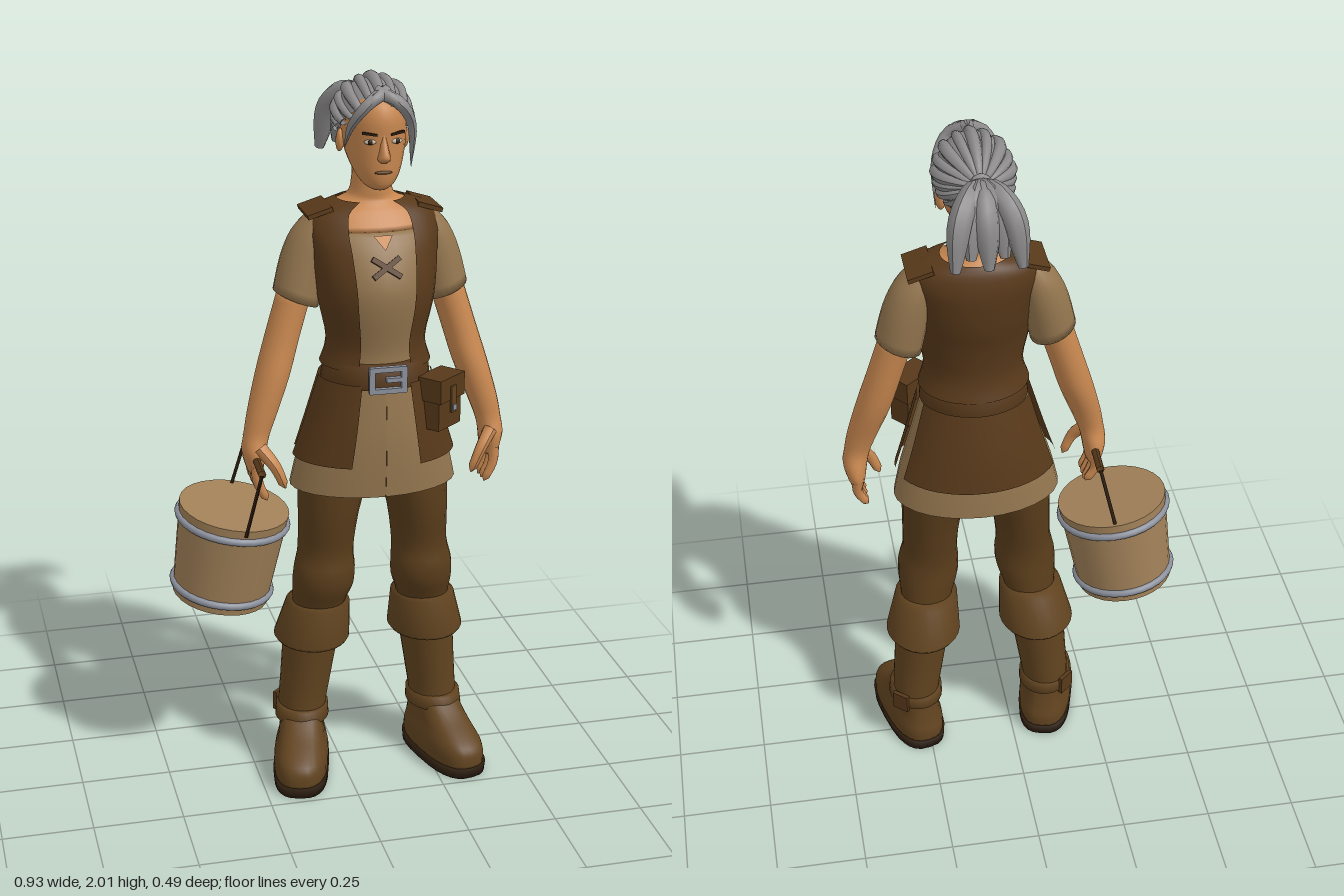
import * as THREE from 'three';

const D = { side: THREE.DoubleSide };
const mat = (name, color, extra = {}) => Object.assign(new THREE.MeshStandardMaterial({ color, ...extra }), { name });
const M = {
  skin: mat('skin', 0xc98850), hair: mat('hair', 0x8d8b8b, D), cloth: mat('linen', 0x94764f, D),
  leather: mat('leather', 0x58391a, D), trousers: mat('trousers', 0x5a3d1b), boots: mat('boots', 0x624420, D),
  wood: mat('wood', 0xa08058), steel: mat('steel', 0x8b909c), dark: mat('dark', 0x2c1d0f), eye: mat('eyeWhite', 0xc9b9a2),
};
const CX = 0.088; // the body stands a little to its left of the middle

export function createModel() {
  const root = new THREE.Group();
  root.name = 'bucketCarrier';
  const put = (name, geo, m, parent = root, pos = [0, 0, 0], rot = [0, 0, 0]) => {
    const mesh = new THREE.Mesh(geo, m);
    mesh.name = name;
    mesh.position.set(...pos);
    mesh.rotation.set(...rot);
    parent.add(mesh);
    return mesh;
  };
  const box = (name, size, m, pos, rot, parent) => put(name, new THREE.BoxGeometry(...size), m, parent, pos, rot);

  // Skin over horizontal rings, bottom to top: [y, x, halfWidth, zBack, zFront, slope]
  const loft = (rings, { a0 = 0, a1 = Math.PI * 2, n = 28, sub = 3, grow = 0, pow = 1 } = {}) => {
    const closed = a1 - a0 > 6.28, rows = [], pos = [], idx = [];
    const at = (i, k) => rings[Math.min(Math.max(i, 0), rings.length - 1)][k] ?? 0;
    for (let i = 0; i < rings.length - 1; i++) for (let s = 0; s < sub; s++) {
      const t = s / sub;
      rows.push([0, 1, 2, 3, 4, 5].map((k) => {
        const [p, a, b, q] = [at(i - 1, k), at(i, k), at(i + 1, k), at(i + 2, k)];
        return a + 0.5 * t * (b - p + t * (2 * p - 5 * a + 4 * b - q + t * (3 * (a - b) + q - p)));
      }));
    }
    rows.push([0, 1, 2, 3, 4, 5].map((k) => at(rings.length - 1, k)));
    const cols = closed ? n : n + 1, bend = (v) => Math.sign(v) * Math.abs(v) ** pow;
    for (const [y, x, hx, zb, zf, k] of rows) for (let j = 0; j < cols; j++) {
      const a = a0 + (a1 - a0) * j / n, dx = (hx + grow) * bend(Math.sin(a));
      pos.push(x + dx, y + k * dx, (zb + zf) / 2 + ((zf - zb) / 2 + grow) * bend(Math.cos(a)));
    }
    for (let i = 0; i < rows.length - 1; i++) for (let j = 0; j < n; j++) {
      const a = i * cols + j, b = i * cols + (j + 1) % cols;
      idx.push(a, b, a + cols, b, b + cols, a + cols);
    }
    if (closed) [0, rows.length - 1].forEach((r, e) => {
      const [y, x, , zb, zf] = rows[r], c = pos.length / 3;
      pos.push(x, y, (zb + zf) / 2);
      for (let j = 0; j < n; j++) {
        const a = r * cols + j, b = r * cols + (j + 1) % cols;
        idx.push(...(e ? [c, a, b] : [c, b, a]));
      }
    });
    const g = new THREE.BufferGeometry();
    g.setAttribute('position', new THREE.Float32BufferAttribute(pos, 3));
    g.setIndex(idx);
    g.computeVertexNormals();
    return g;
  };

  // Round strand along points, its thickness set by a taper rule
  const strand = (pts, r, taper = () => 1, seg = 12) => {
    const curve = new THREE.CatmullRomCurve3(pts.map((p) => (p.isVector3 ? p : new THREE.Vector3(...p))));
    const g = new THREE.TubeGeometry(curve, seg, r, 8), p = g.attributes.position, v = new THREE.Vector3();
    for (let i = 0; i < p.count; i++) {
      const u = Math.floor(i / 9) / seg, c = curve.getPointAt(u);
      v.fromBufferAttribute(p, i).sub(c).multiplyScalar(taper(u)).add(c);
      p.setXYZ(i, v.x, v.y, v.z);
    }
    g.computeVertexNormals();
    return g;
  };
  const body = (rows) => rows.map(([y, ...r]) => [y, CX, ...r]);
  const deg = Math.PI / 180;

  // Torso: shirt, neck and open vest
  const torso = body([[1.18, .14, -.07, .17], [1.25, .125, -.05, .165], [1.3, .123, -.045, .168], [1.4, .143, -.06, .188],
    [1.47, .153, -.08, .187], [1.55, .163, -.093, .155], [1.6, .168, -.095, .12]]);
  const top = body([[1.645, .15, -.085, .085], [1.67, .08, -.07, .062]]);
  put('shirt', loft(torso), M.cloth);
  put('neck', loft([torso[6], ...top, ...body([[1.7, .055, -.055, .062], [1.79, .05, -.05, .06]])]), M.skin);
  put('vest', loft([...body([[1.235, .14, -.06, .175]]), ...torso.slice(2), ...top], { a0: 29 * deg, a1: 331 * deg, grow: .012 }), M.leather);
  put('neckNotch', new THREE.CircleGeometry(.03, 3), M.skin, root, [CX, 1.585, .145], [-.75, 0, -Math.PI / 2]);
  for (const s of [-1, 1]) {
    box('lacing', [.09, .014, .01], M.leather, [CX, 1.52, .177], [-.4, 0, s * .6]);
    box('shoulderFlap', [.07, .012, .13], M.leather, [CX + s * .15, 1.645, -.005], [0, 0, -s * .3]);
  }

  // Belt, skirt and hanging panels
  put('belt', loft(body([[1.185, .135, -.06, .18], [1.187, .15, -.073, .195], [1.25, .142, -.068, .19], [1.252, .12, -.05, .17]]), { sub: 1 }), M.leather);
  const skirt = body([[.88, .233, -.115, .19], [.97, .212, -.11, .195], [1.07, .18, -.097, .195], [1.2, .142, -.068, .183]]);
  put('skirt', loft(skirt, { a1: 6.28 }), M.cloth);
  for (const [name, a, b] of [['leftPanel', 25, 92], ['rightPanel', 268, 335], ['backPanel', 112, 248]])
    put(name, loft(skirt.slice(1), { a0: a * deg, a1: b * deg, grow: .014, n: 16 }), M.leather);
  for (const s of [-1, 1]) {
    box('buckleBar', [.1, .014, .014], M.steel, [CX, 1.219 + s * .03, .2]);
    box('buckleSide', [.016, .07, .014], M.steel, [CX + s * .044, 1.219, .2]);
  }
  box('buckleTongue', [.05, .012, .014], M.steel, [CX + .02, 1.219, .2]);
  const pouch = new THREE.Group();
  pouch.name = 'pouch';
  pouch.position.set(.247, 1.13, .15);
  pouch.rotation.set(0, 40 * deg, 0);
  root.add(pouch);
  box('pouchBag', [.105, .135, .065], M.leather, [0, 0, 0], [0, 0, 0], pouch);
  box('pouchFlap', [.115, .065, .078], M.leather, [0, .045, .002], [0, 0, 0], pouch);
  box('pouchStrap', [.022, .075, .006], M.boots, [0, .015, .043], [0, 0, 0], pouch);
  box('pouchStud', [.016, .016, .006], M.steel, [0, -.008, .047], [0, 0, 0], pouch);

  // Arms, hands, legs and boots, mirrored
  for (const s of [-1, 1]) {
    const side = (rows) => rows.map(([y, x, hx, zb, zf, k = 0]) => [y, CX + s * x, hx, zb, zf, s * k]);
    put('sleeve', loft(side([[1.405, .207, .061, -.065, .075, .4], [1.5, .186, .06, -.07, .068, .3], [1.58, .162, .054, -.065, .06, .1],
      [1.632, .14, .035, -.045, .045]]), { n: 20 }), M.cloth);
    put('arm', loft(side([[.935, .333, .02, .0, .095], [.965, .335, .028, -.008, .1], [1.0, .335, .034, -.002, .1], [1.04, .327, .036, .01, .088],
      [1.1, .31, .042, .0, .088], [1.2, .278, .048, -.028, .085], [1.3, .248, .048, -.04, .07], [1.44, .205, .048, -.05, .06]]), { n: 18 }), M.skin);
    for (let i = 0; i < 4; i++) {
      const z = .006 + i * .027, d = i === 0 ? .015 : 0;
      put('finger', strand([[CX + s * .335, .96, z], [CX + s * .333, .915, z + .004], [CX + s * .308, .86 + d, z + .004]], .0165,
        (u) => (u > .99 ? .1 : 1 - .35 * u), 8), M.skin);
    }
    put('thumb', strand([[CX + s * .325, 1.01, .085], [CX + s * .29, .965, .112], [CX + s * .262, .9, .115]], .02,
      (u) => (u > .99 ? .1 : 1 - .4 * u), 8), M.skin);

    put('trouserLeg', loft(side([[.48, .155, .07, -.05, .09], [.53, .15, .076, -.045, .11], [.58, .143, .086, -.04, .132], [.63, .14, .086, -.035, .138],
      [.69, .135, .078, -.04, .13], [.8, .127, .084, -.06, .15], [.93, .108, .098, -.08, .158], [1.05, .09, .088, -.07, .15]]), { n: 22 }), M.trousers);
    put('bootCuff', loft(side([[.41, .167, .07, -.08, .09], [.395, .167, .1, -.11, .12], [.405, .167, .107, -.116, .126],
      [.515, .153, .09, -.075, .125], [.525, .153, .06, -.05, .1]]), { sub: 1 }), M.boots);
    put('bootShaft', loft(side([[.08, .195, .058, -.07, .08], [.18, .195, .067, -.077, .075], [.28, .184, .072, -.08, .083], [.42, .168, .079, -.09, .1]])), M.boots);
    const foot = new THREE.Group();
    foot.name = 'foot';
    foot.position.set(CX + s * .195, 0, 0);
    foot.rotation.y = s * .25;
    root.add(foot);
    put('sole', loft([[0, 0, .078, -.098, .238], [.03, 0, .08, -.1, .242]], { sub: 1, pow: .72 }), M.dark, foot);
    put('shoe', loft([[.028, 0, .077, -.096, .236], [.06, 0, .078, -.096, .235], [.085, 0, .074, -.09, .222], [.11, 0, .067, -.085, .185],
      [.14, 0, .063, -.08, .13], [.175, 0, .06, -.077, .085]], { pow: .78 }), M.boots, foot);
    put('ankleStrap', loft([[.15, 0, .06, -.07, .085], [.152, 0, .077, -.085, .1], [.187, 0, .075, -.085, .09], [.189, 0, .06, -.07, .08]], { sub: 1 }), M.boots, foot);
    box('strapBuckle', [.012, .055, .05], M.leather, [s * .066, .17, -.045], [0, s * .6, 0], foot);
  }

  // Head and face
  put('head', loft(body([[1.712, .02, .055, .112], [1.725, .04, .03, .127], [1.755, .06, -.01, .135], [1.8, .076, -.065, .138], [1.85, .084, -.09, .14],
    [1.9, .085, -.1, .142], [1.945, .074, -.085, .122], [1.975, .045, -.05, .07]])), M.skin);
  put('nose', loft(body([[1.79, .01, .12, .145], [1.8, .018, .115, .162], [1.815, .014, .115, .163], [1.85, .008, .115, .145], [1.87, .006, .11, .14]]), { n: 10 }), M.skin);
  put('mouth', new THREE.SphereGeometry(1, 12, 8).scale(.024, .005, .006), M.boots, root, [CX, 1.764, .134]);
  const ball = (sx, sy, sz) => new THREE.SphereGeometry(1, 14, 10).scale(sx, sy, sz);
  for (const s of [-1, 1]) {
    put('eye', ball(.016, .007, .006), M.eye, root, [CX + s * .036, 1.845, .132], [0, s * .3, 0]);
    put('iris', ball(.007, .007, .004), M.dark, root, [CX + s * .036, 1.845, .136]);
    box('brow', [.04, .006, .008], M.dark, [CX + s * .037, 1.866, .133], [0, s * .3, s * .12]);
    put('ear', ball(.012, .032, .02), M.skin, root, [CX + s * .086, 1.828, .01], [.2, s * .3, 0]);
  }

  // Hair: a tilted cap, combed strands, front locks and ponytail
  const centre = new THREE.Vector3(CX, 1.886, .014), radii = new THREE.Vector3(.097, .104, .124);
  const cap = new THREE.SphereGeometry(1, 28, 16, 0, Math.PI * 2, 0, 103 * deg).rotateX(-44 * deg).scale(...radii).translate(...centre);
  put('hairCap', cap, M.hair);
  const tie = new THREE.Vector3(0, .3, -.95);
  for (let i = 0; i < 19; i++) {
    const a = (i / 9 - 1) * 150 * deg, e = (33 - Math.abs(a) / deg * .5) * deg;
    const start = new THREE.Vector3(Math.sin(a) * Math.cos(e), Math.sin(e), Math.cos(a) * Math.cos(e));
    const pts = [0, .25, .5, .75, 1].map((t) => start.clone().lerp(tie, t).normalize().multiply(radii).add(centre));
    put('hairStrand', strand(pts, i % 2 ? .017 : .014, (u) => .25 + .75 * Math.sin(Math.PI * (.12 + .83 * u))), M.hair);
  }
  const tip = (u) => 1.02 - u * u;
  for (const s of [-1, 1]) {
    put('frontLock', strand([[CX + s * .005, 1.965, .115], [CX + s * .045, 1.94, .135], [CX + s * .08, 1.885, .11], [CX + s * .09, s > 0 ? 1.76 : 1.82, .075]], .017, tip), M.hair);
    put('fringe', strand([[CX - s * .015, 1.97, .105], [CX + s * .03, 1.95, .137], [CX + s * .065, 1.905, .13]], .018, tip), M.hair);
  }
  put('hairTie', new THREE.TorusGeometry(.02, .009, 8, 14), M.hair, root, [CX, 1.925, -.113], [.2, 0, 0]);
  for (let i = -2; i <= 2; i++) {
    const k = i / 2, drop = Math.abs(i) % 2 * .02;
    put('ponytailLock', strand([[CX, 1.922, -.1], [CX + k * .03, 1.928, -.15], [CX + k * .065, 1.88, -.2 + drop], [CX + k * .085, 1.755 + drop, -.236 + drop]], .026,
      (u) => .35 + .9 * Math.sin(Math.PI * Math.min(u * .9 + .05, .98))), M.hair);
  }

  // Bucket, leaning as it hangs
  const low = new THREE.Vector3(-.335, .545, -.028), high = new THREE.Vector3(-.295, .815, 0);
  const axis = high.clone().sub(low), h = axis.length();
  const bucket = new THREE.Group();
  bucket.name = 'bucket';
  bucket.position.copy(low);
  bucket.quaternion.setFromUnitVectors(new THREE.Vector3(0, 1, 0), axis.normalize());
  root.add(bucket);
  put('bucketBody', new THREE.CylinderGeometry(.154, .135, h, 28), M.wood, bucket, [0, h / 2, 0]);
  for (const y of [.03, h - .035]) {
    const r = .135 + .019 * y / h;
    put('bucketHoop', new THREE.TorusGeometry(r, .011, 8, 32), M.steel, bucket, [0, y, 0], [Math.PI / 2, 0, 0]);
  }
  // Handle: wooden grip with a wire down to each side
  const ends = [[-.24, .985, -.092], [-.253, .975, .19]], rims = [[-.285, .785, -.15], [-.293, .785, .157]];
  put('bucketGrip', strand(ends, .011), M.leather);
  ends.forEach((e, i) => put('bucketWire', strand([e, rims[i]], .005), M.dark));
  return root;
}
